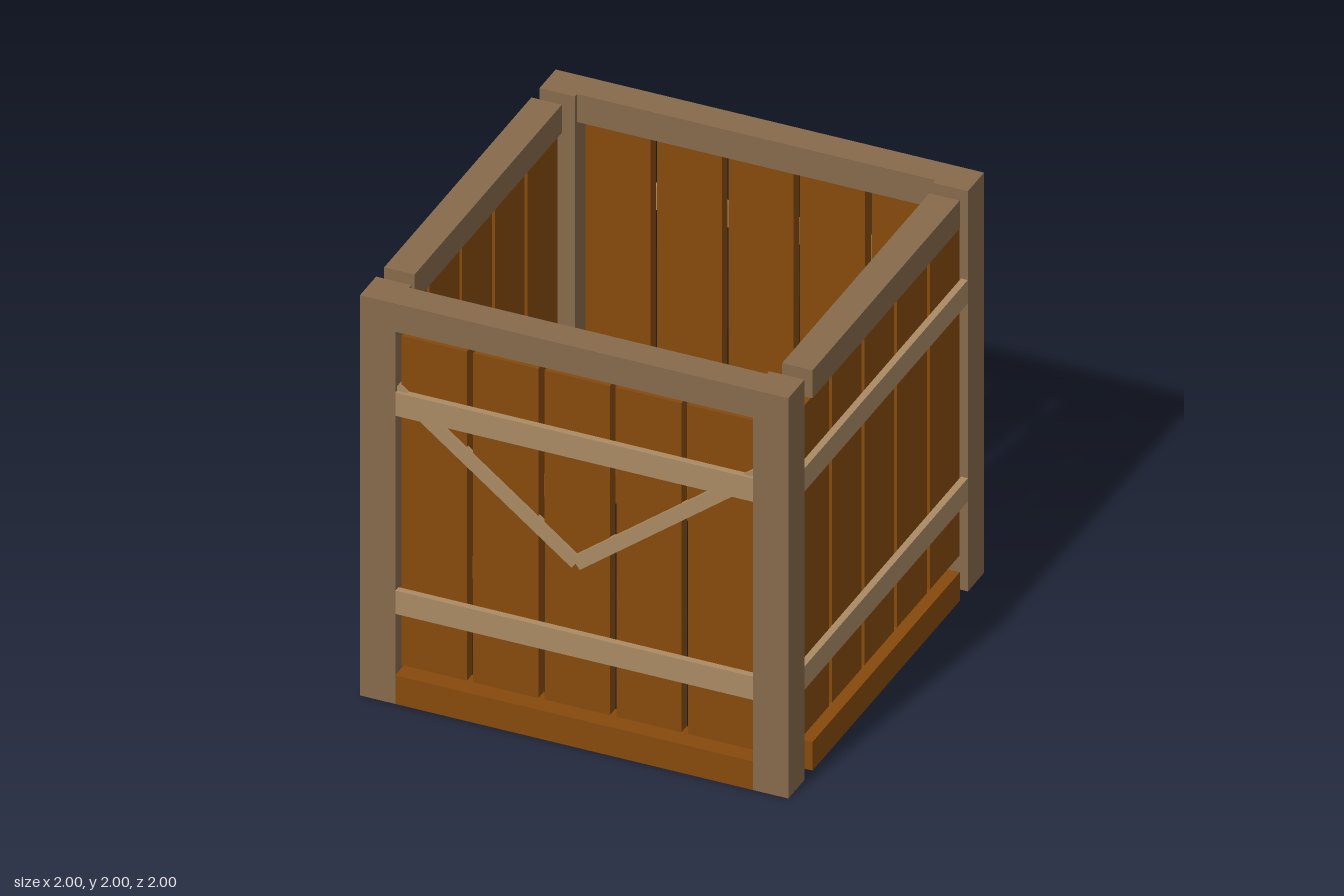
import * as THREE from 'three';

const material = (name, color) => {
  const m = new THREE.MeshStandardMaterial({ color });
  m.name = name;
  return m;
};

export function createModel() {
  const frameWood = material('frame wood', 0x876a4b);
  const plankWood = material('plank wood', 0x864a0d);
  const strapWood = material('strap wood', 0xaa8a64);

  // Box given by its minimum and maximum corners
  const box = (parent, name, mat, [x0, y0, z0], [x1, y1, z1]) => {
    const mesh = new THREE.Mesh(new THREE.BoxGeometry(x1 - x0, y1 - y0, z1 - z0), mat);
    mesh.position.set((x0 + x1) / 2, (y0 + y1) / 2, (z0 + z1) / 2);
    mesh.name = name;
    parent.add(mesh);
    return mesh;
  };

  const crate = new THREE.Group();
  crate.name = 'crate';
  const inner = 0.835; // inner face of the corner posts

  // Corner posts
  for (const sx of [-1, 1]) for (const sz of [-1, 1]) {
    const post = box(crate, 'cornerPost', frameWood, [inner, 0, inner], [1, 2, 1]);
    post.position.x *= sx;
    post.position.z *= sz;
  }

  // Four walls, each built facing +z and then turned into place
  ['frontWall', 'leftWall', 'backWall', 'rightWall'].forEach((name, i) => {
    const wall = new THREE.Group();
    wall.name = name;
    wall.rotation.y = i * Math.PI / 2;
    crate.add(wall);

    // Side rails stop short of the posts
    const half = i % 2 ? 0.752 : inner;
    box(wall, 'topRail', frameWood, [-half, 1.86, 0.858], [half, 2, 1]);
    box(wall, 'bottomRail', plankWood, [-half, 0, 0.858], [half, 0.143, 1]);

    // Upright planks
    for (let k = -2; k <= 2; k++) {
      const x = k * 0.334;
      box(wall, 'plank', plankWood, [x - 0.152, 0.18, 0.91], [x + 0.152, 1.825, 0.968]);
    }

    // Horizontal straps
    for (const y of [0.508, 1.498]) {
      box(wall, 'strap', strapWood, [-inner, y - 0.058, 0.968], [inner, y + 0.058, 1]);
    }

    // Diagonal braces on the front only
    if (i === 0) for (const s of [-1, 1]) {
      const brace = box(wall, 'diagonalBrace', strapWood, [-0.535, -0.033, 0.955], [0.535, 0.033, 0.985]);
      const angle = 0.658;
      brace.position.x = s * 0.535 * Math.cos(angle);
      brace.position.y = 0.908 + 0.535 * Math.sin(angle);
      brace.position.z += s * 0.001;
      brace.rotation.z = s * angle;
    }
  });

  return crate;
}
